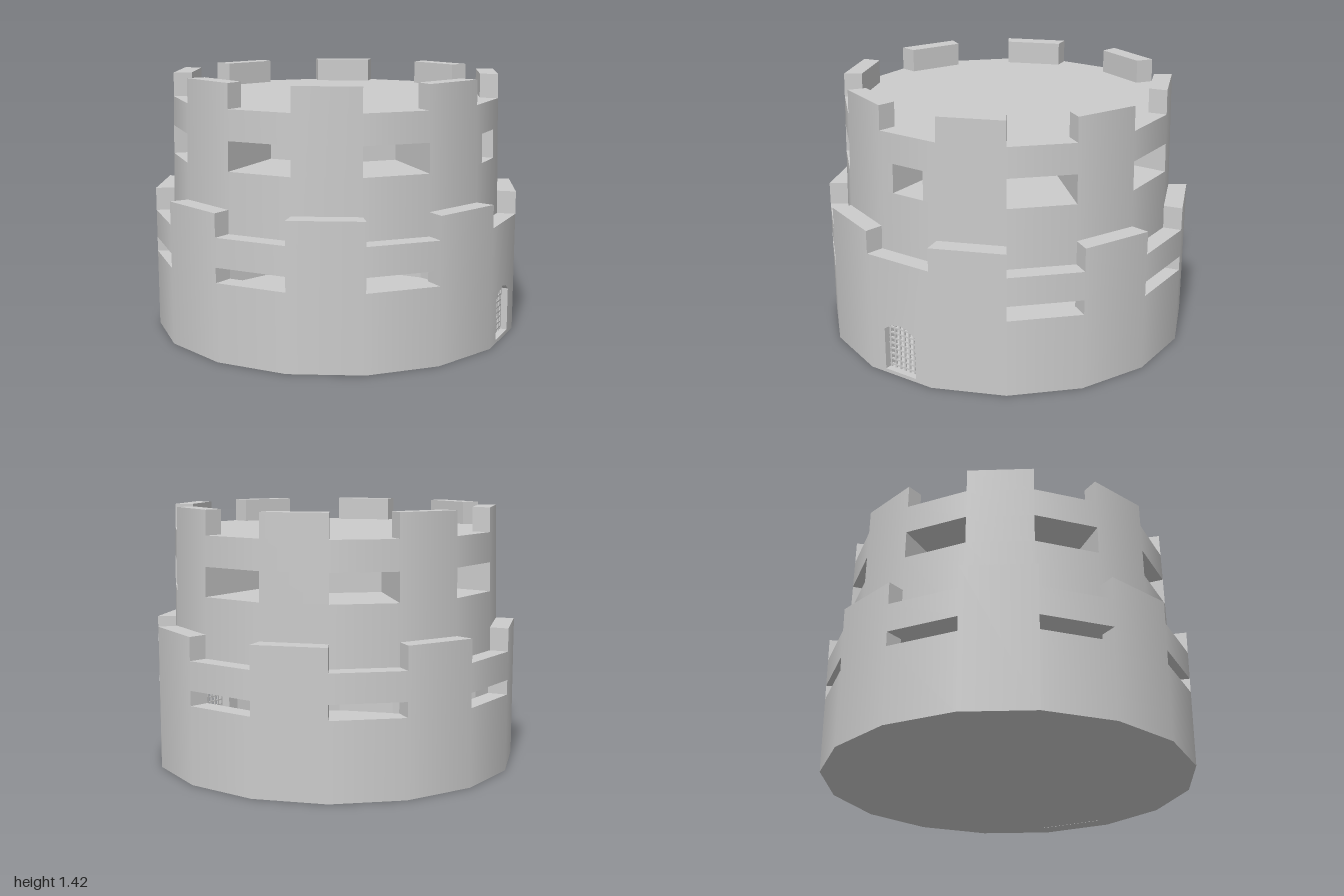
import * as THREE from 'three';

const SIDES = 16, STEP = Math.PI * 2 / SIDES, TURN = THREE.MathUtils.degToRad(1.2);
const DOOR_FACE = 4;                       // the face looking along +x
const R = 1.015, R_IN = 0.91, R_UP = 0.915, R_UP_IN = 0.815;
const WALK = 0.655, ROOF = 1.29, TOP = 1.42;
const material = new THREE.MeshStandardMaterial({ color: 0xcccccc });

const faceAngle = k => TURN + k * STEP;
const polar = (r, a) => new THREE.Vector2(Math.sin(a) * r, Math.cos(a) * r); // (x, z)
const corner = (r, k) => polar(r, faceAngle(k - 0.5));

// Flat facets everywhere, but radial normals on the outer wall so it shades round
function finish(geometry) {
  const g = geometry.index ? geometry.toNonIndexed() : geometry;
  g.computeVertexNormals();
  const p = g.attributes.position, n = g.attributes.normal;
  for (let i = 0; i < p.count; i++) {
    const r = Math.hypot(p.getX(i), p.getZ(i));
    if (r < 0.8) continue;
    const x = p.getX(i) / r, z = p.getZ(i) / r;
    if (n.getX(i) * x + n.getZ(i) * z > 0.97) n.setXYZ(i, x, 0, z);
  }
  return g;
}

function add(parent, name, geometry) {
  const mesh = new THREE.Mesh(finish(geometry), material);
  mesh.name = name;
  parent.add(mesh);
  return mesh;
}

// Upright prism from a plan outline of (x, z) points
function prism(points, y0, y1) {
  const shape = new THREE.Shape(points.map(p => new THREE.Vector2(p.x, -p.y)));
  const g = new THREE.ExtrudeGeometry(shape, { depth: y1 - y0, bevelEnabled: false });
  return g.rotateX(-Math.PI / 2).translate(0, y0, 0);
}

// Slight inward lean of the upper tower
function taper(g) {
  const p = g.attributes.position;
  for (let i = 0; i < p.count; i++) {
    const s = 1 - 0.017 * (p.getY(i) - WALK) / (TOP - WALK);
    p.setX(i, p.getX(i) * s);
    p.setZ(i, p.getZ(i) * s);
  }
  return g;
}

const polygon = r => Array.from({ length: SIDES }, (_, k) => corner(r, k));
const wallBlock = (k, rIn, rOut, y0, y1) =>
  prism([corner(rOut, k), corner(rOut, k + 1), corner(rIn, k + 1), corner(rIn, k)], y0, y1);

// Arched doorway outline, also used to trim the bars
const DOOR_HALF = 0.1, DOOR_BOTTOM = 0.02;
const ARCH = [[0.1, 0.255], [0.055, 0.285], [0, 0.297], [-0.055, 0.285], [-0.1, 0.255]];
function archHeight(x) {
  const a = Math.abs(x);
  return a > 0.055 ? 0.285 - (a - 0.055) / 0.045 * 0.03 : 0.297 - a / 0.055 * 0.012;
}

function buildDoor(parent) {
  const apothem = R * Math.cos(STEP / 2), half = R * Math.sin(STEP / 2), angle = faceAngle(DOOR_FACE);
  const panel = new THREE.Shape([[-half, 0], [half, 0], [half, WALK], [-half, WALK]]
    .map(p => new THREE.Vector2(...p)));
  panel.holes.push(new THREE.Path([[-DOOR_HALF, DOOR_BOTTOM], [DOOR_HALF, DOOR_BOTTOM], ...ARCH]
    .map(p => new THREE.Vector2(...p))));
  const g = new THREE.ExtrudeGeometry(panel, { depth: 0.1, bevelEnabled: false });
  add(parent, 'doorWall', g.translate(0, 0, apothem - 0.1).rotateY(angle));

  // Portcullis
  const gate = new THREE.Group();
  gate.name = 'portcullis';
  parent.add(gate);
  const bar = (name, w, h, x, y) =>
    add(gate, name, new THREE.BoxGeometry(w, h, 0.009).translate(x, y, apothem - 0.04).rotateY(angle));
  for (let i = -3; i <= 3; i++) {
    const x = i * 0.031, h = archHeight(x) - DOOR_BOTTOM;
    bar('uprightBar', 0.009, h, x, DOOR_BOTTOM + h / 2);
  }
  for (let i = 0; i < 8; i++) bar('crossBar', DOOR_HALF * 2, 0.009, 0, 0.036 + i * 0.031);
}

export function createModel() {
  const model = new THREE.Group();
  model.name = 'castleTower';
  const lower = new THREE.Group(), upper = new THREE.Group();
  lower.name = 'lowerTower';
  upper.name = 'upperTower';
  model.add(lower, upper);

  // Lower ring: window faces alternate with taller faces that form merlons
  add(lower, 'floor', prism(polygon(R_IN), 0, 0.02));
  for (let k = 0; k < SIDES; k++) {
    if (k === DOOR_FACE) buildDoor(lower);
    else if (k % 2) add(lower, 'merlonWall', wallBlock(k, R_IN, R, 0, 0.78));
    else {
      add(lower, 'wallBelowWindow', wallBlock(k, R_IN, R, 0, 0.42));
      add(lower, 'wallAboveWindow', wallBlock(k, R_IN, R, 0.5, WALK));
    }
  }

  // Upper tower: solid base, a band with deep window recesses, and the roof slab
  const plan = [];
  for (let k = 0; k < SIDES; k++) {
    const a = corner(R_UP, k), b = corner(R_UP, k + 1);
    plan.push(a);
    if (k % 2) continue;
    const inward = polar(-0.45, faceAngle(k));
    const inset = k === DOOR_FACE ? 0.23 : 0;   // narrow window above the door
    const p = a.clone().lerp(b, inset), q = b.clone().lerp(a, inset);
    if (inset) plan.push(p);
    plan.push(p.clone().add(inward), q.clone().add(inward));
    if (inset) plan.push(q);
  }
  add(upper, 'base', taper(prism(polygon(R_UP), 0.53, 0.975)));
  add(upper, 'windowBand', taper(prism(plan, 0.975, 1.13)));
  add(upper, 'roof', taper(prism(polygon(R_UP), 1.13, ROOF)));
  for (let k = 1; k < SIDES; k += 2)
    add(upper, 'merlon', taper(wallBlock(k, R_UP_IN, R_UP, ROOF, TOP)));

  return model;
}
